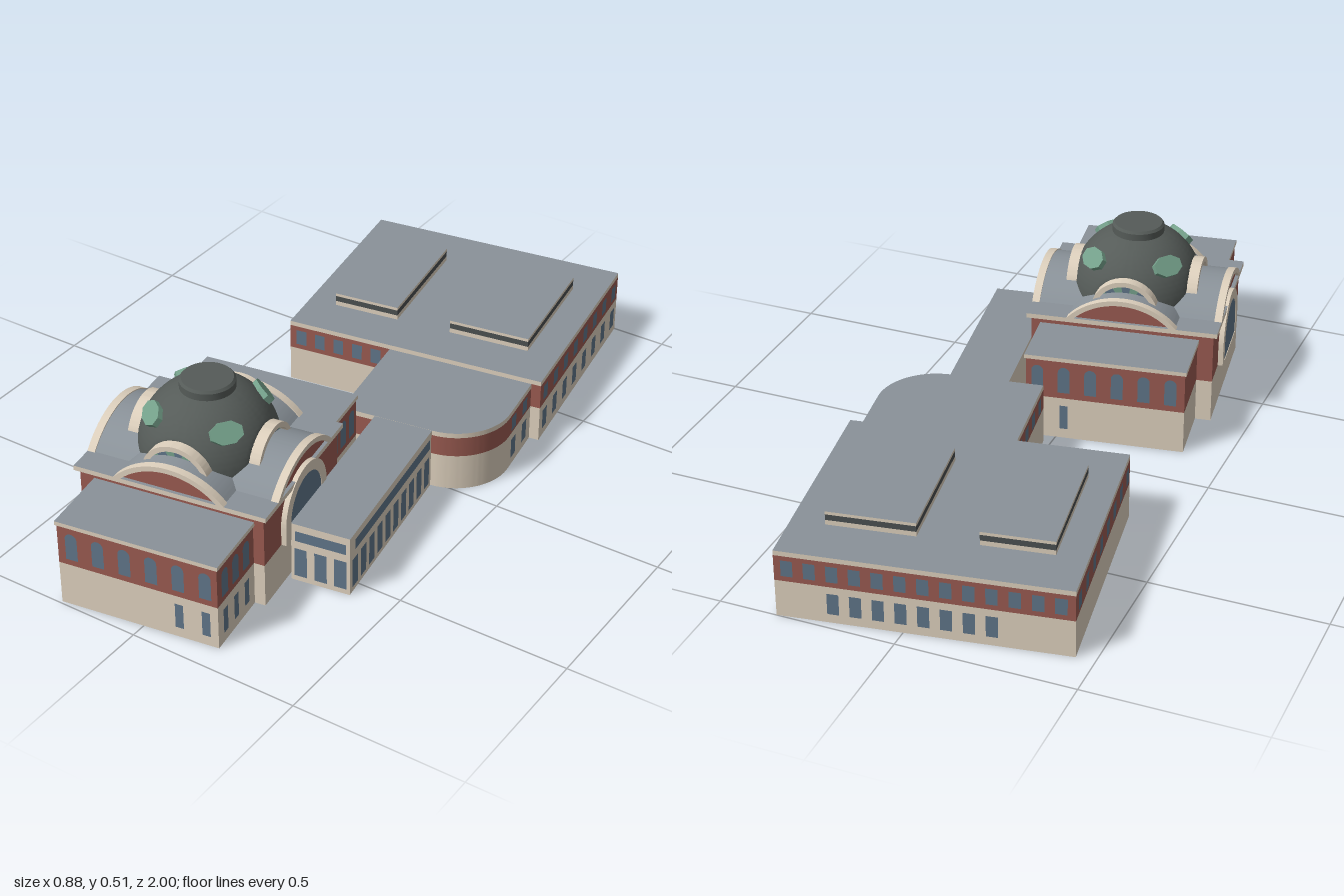
import * as THREE from 'three';
import { toCreasedNormals } from 'three/addons/utils/BufferGeometryUtils.js';

const mat = (color, side = THREE.DoubleSide) => new THREE.MeshStandardMaterial({ color, side });
const cream = mat(0xdccfbc), brick = mat(0x985a50), roofGrey = mat(0x8a9299), domeGrey = mat(0x555b58);
const dark = mat(0x4a4f50), green = mat(0x74a08a), glass = mat(0x5f7488, THREE.FrontSide);

function add(parent, name, geo, material, x = 0, y = 0, z = 0, ry = 0) {
  const m = new THREE.Mesh(geo, material);
  m.name = name;
  m.position.set(x, y, z);
  m.rotation.y = ry;
  parent.add(m);
  return m;
}

// Plan outline (x, -z), counter-clockwise, with an optional round front right corner
function plan([x0, x1, z0, z1], out = 0, r = 0) {
  const s = new THREE.Shape();
  x0 -= out; x1 += out; z0 -= out; z1 += out;
  s.moveTo(x0, -z1);
  s.lineTo(x1 - r, -z1);
  if (r) s.absarc(x1 - r, -z1 + r, r, -Math.PI / 2, 0, false);
  s.lineTo(x1, -z0);
  s.lineTo(x0, -z0);
  return s;
}

// Open ring of upright walls following a plan
function walls(shape, y0, y1) {
  const p = shape.getPoints(16), v = [];
  p.forEach((a, i) => {
    const b = p[(i + 1) % p.length];
    if (a.distanceTo(b) < 1e-6) return;
    v.push(a.x, y0, -a.y, b.x, y0, -b.y, b.x, y1, -b.y, a.x, y0, -a.y, b.x, y1, -b.y, a.x, y1, -a.y);
  });
  const g = new THREE.BufferGeometry();
  g.setAttribute('position', new THREE.Float32BufferAttribute(v, 3));
  return toCreasedNormals(g, 0.5);
}

// Building volume: stacked wall bands [name, y0, y1, material, overhang] under a flat roof
function block(parent, name, rect, bands, r = 0) {
  const g = new THREE.Group();
  g.name = name;
  parent.add(g);
  for (const [label, y0, y1, m, out = 0] of bands) {
    add(g, label, walls(plan(rect, out, r), y0, y1), m);
    if (out) {
      const soffit = plan(rect, out, r);
      soffit.holes.push(new THREE.Path(plan(rect, 0, r).getPoints(16)));
      add(g, label + 'Soffit', new THREE.ShapeGeometry(soffit).rotateX(-Math.PI / 2), m, 0, y0);
    }
  }
  const [, , top, , out = 0] = bands[bands.length - 1];
  add(g, 'roof', new THREE.ShapeGeometry(plan(rect, out, r), 16).rotateX(-Math.PI / 2), roofGrey, 0, top);
  return g;
}

const evenly = (a, b, n) => Array.from({ length: n }, (_, i) => a + (b - a) * i / (n - 1));

// Window outline standing on y = 0, square or round headed
function opening(w, h, arched) {
  const s = new THREE.Shape(), r = w / 2;
  s.moveTo(-r, 0);
  s.lineTo(r, 0);
  if (arched) s.absarc(0, h - r, r, 0, Math.PI, false);
  else { s.lineTo(r, h); s.lineTo(-r, h); }
  return s;
}

// Row of windows on one face of a volume
const FACES = { front: 0, right: Math.PI / 2, back: Math.PI, left: -Math.PI / 2 };
function windows(parent, face, plane, spots, y0, y1, w, arched = false) {
  const g = new THREE.Group(), geo = new THREE.ShapeGeometry(opening(w, y1 - y0, arched), 8);
  g.name = face + 'Windows';
  const out = plane + (face === 'front' || face === 'right' ? 0.002 : -0.002);
  for (const t of spots) {
    const alongX = face === 'front' || face === 'back';
    add(g, 'window', geo, glass, alongX ? t : out, y0, alongX ? out : t, FACES[face]);
  }
  parent.add(g);
}

// Segment of a circle above a chord at y = 0; an inner band when thick is given
function segment(half, rise, thick = 0) {
  const R = (half * half + rise * rise) / (2 * rise), cy = rise - R;
  const a = Math.asin(-cy / R), s = new THREE.Shape();
  s.absarc(0, cy, R, a, Math.PI - a, false);
  if (thick) {
    const q = R - thick, b = Math.asin(-cy / q);
    s.absarc(0, cy, q, Math.PI - b, b, true);
  }
  return s;
}
const extrude = (s, depth) => new THREE.ExtrudeGeometry(s, { depth, bevelEnabled: false, curveSegments: 32 });

export function createModel() {
  const root = new THREE.Group(), site = new THREE.Group();
  root.name = 'building';
  site.name = 'site';
  site.rotation.y = 0.154;
  root.add(site);

  // Large rear wing with two raised roof lights
  const rear = block(site, 'rearWing', [-0.307, 0.485, -0.936, -0.272],
    [['base', 0, 0.11, cream], ['brickStorey', 0.11, 0.186, brick], ['parapet', 0.186, 0.2, cream]]);
  const side = evenly(-0.895, -0.31, 8);
  windows(rear, 'right', 0.485, side, 0.027, 0.09, 0.034);
  windows(rear, 'right', 0.485, side, 0.126, 0.174, 0.034);
  windows(rear, 'left', -0.307, side, 0.126, 0.174, 0.034);
  windows(rear, 'back', -0.936, evenly(-0.27, 0.45, 13), 0.126, 0.174, 0.032);
  windows(rear, 'back', -0.936, evenly(-0.09, 0.33, 8), 0.027, 0.09, 0.032);
  windows(rear, 'front', -0.272, evenly(-0.27, -0.03, 5), 0.126, 0.174, 0.032);
  for (const [x0, x1] of [[-0.222, -0.022], [0.146, 0.391]])
    block(site, 'roofLight', [x0, x1, -0.79, -0.41],
      [['curb', 0.2, 0.214, cream], ['louvres', 0.214, 0.231, dark], ['rim', 0.231, 0.24, cream]]);

  // Connector with one round corner
  const link = block(site, 'connector', [0.014, 0.456, -0.272, 0.061],
    [['base', 0, 0.11, cream], ['brickStorey', 0.11, 0.171, brick], ['parapet', 0.171, 0.186, cream]], 0.165);
  for (const [y0, y1] of [[0.027, 0.09], [0.12, 0.165]])
    windows(link, 'right', 0.456, [-0.22, -0.135], y0, y1, 0.034);
  windows(link, 'left', 0.014, evenly(-0.22, 0.01, 4), 0.12, 0.165, 0.032);

  // Long low gallery beside the hall
  const gallery = block(site, 'gallery', [0.117, 0.287, 0.05, 0.606],
    [['wall', 0, 0.171, cream], ['cornice', 0.171, 0.1855, cream, 0.002]]);
  windows(gallery, 'right', 0.287, evenly(0.095, 0.575, 10), 0.017, 0.107, 0.034);
  windows(gallery, 'right', 0.287, [0.325], 0.131, 0.163, 0.5);
  windows(gallery, 'front', 0.606, [0.145, 0.203, 0.26], 0.017, 0.107, 0.036);
  windows(gallery, 'front', 0.606, [0.203], 0.131, 0.163, 0.148);

  // Square hall
  const cx = -0.166, cz = 0.513;
  const hall = block(site, 'hall', [-0.436, 0.104, 0.288, 0.738],
    [['base', 0, 0.131, cream], ['brickStorey', 0.131, 0.281, brick], ['cornice', 0.281, 0.295, cream, 0.012]]);

  // Front and back pavilions of the hall
  const storeys = [['base', 0, 0.131, cream], ['brickStorey', 0.131, 0.252, brick], ['cornice', 0.252, 0.264, cream, 0.004]];
  const bays = evenly(-0.349, 0.039, 6);
  for (const [face, z0, z1] of [['front', 0.73, 0.944], ['back', 0.094, 0.3]]) {
    const p = block(site, face + 'Pavilion', [-0.39, 0.073, z0, z1], storeys);
    const plane = face === 'front' ? z1 : z0;
    windows(p, face, plane, bays, 0.15, 0.233, 0.035, true);
    windows(p, face, plane, bays.slice(4), 0.031, 0.107, 0.024);
    const flank = face === 'front' ? [0.785, 0.845, 0.905] : [0.13, 0.185, 0.24];
    windows(p, 'right', 0.073, flank, 0.15, 0.233, 0.035, true);
    windows(p, 'right', 0.073, flank, 0.031, 0.107, 0.024);
  }

  // Crossed barrel vaults with brick gables and pale rims
  for (const [half, ry] of [[0.237, 0], [0.2815, Math.PI / 2]]) {
    const vault = new THREE.Group();
    vault.name = 'vault';
    vault.position.set(cx, 0.295, cz);
    vault.rotation.y = ry;
    hall.add(vault);
    const body = extrude(segment(0.158, 0.069), 2 * half - 0.02).translate(0, 0, -half + 0.01);
    add(vault, 'vaultRoof', toCreasedNormals(body, 0.5), [brick, roofGrey]);
    const rim = toCreasedNormals(extrude(segment(0.162, 0.072, 0.015), 0.022), 0.5);
    for (const z of [half - 0.021, -half - 0.001]) add(vault, 'gableRim', rim, cream, 0, 0, z);
  }

  // Great arched windows on both flanks
  for (const [x, ry] of [[0.104, Math.PI / 2], [-0.436, -Math.PI / 2]]) {
    const arch = new THREE.Group();
    arch.name = 'greatWindow';
    arch.position.set(x, 0.131, cz);
    arch.rotation.y = ry;
    hall.add(arch);
    const frame = opening(0.25, 0.179, true);
    frame.holes.push(new THREE.Path(opening(0.188, 0.148, true).getPoints(24)));
    add(arch, 'archSurround', toCreasedNormals(extrude(frame, 0.015), 0.5), cream);
    add(arch, 'glazing', new THREE.ShapeGeometry(opening(0.188, 0.148, true), 24), glass, 0, 0, 0.0135);
  }

  // Dome: a sphere cut flat on four sides
  const dome = new THREE.Group();
  dome.name = 'dome';
  dome.position.set(cx, 0.307, cz);
  site.add(dome);
  const R = 0.193, flat = 0.165;
  const shell = new THREE.SphereGeometry(R, 128, 48, 0, Math.PI * 2, 0, Math.PI * 0.53);
  const pos = shell.attributes.position;
  for (let i = 0; i < pos.count; i++) {
    pos.setX(i, THREE.MathUtils.clamp(pos.getX(i), -flat, flat));
    pos.setZ(i, THREE.MathUtils.clamp(pos.getZ(i), -flat, flat));
  }
  add(dome, 'domeShell', toCreasedNormals(shell, 0.5), domeGrey);
  const cap = [[0.076, 0.165], [0.076, 0.198], [0.07, 0.205], [0, 0.205]].map(p => new THREE.Vector2(...p));
  add(dome, 'domeCap', toCreasedNormals(new THREE.LatheGeometry(cap, 40), 0.5), domeGrey);

  const rimShape = new THREE.Shape();
  rimShape.absarc(0, 0, 0.1, 0, Math.PI, false);
  rimShape.absarc(0, 0, 0.085, Math.PI, 0, true);
  const rimGeo = toCreasedNormals(extrude(rimShape, 0.036), 0.5);
  for (let k = 0; k < 4; k++) {
    // Half-round fan windows on the flat sides
    const fan = new THREE.Group();
    fan.name = 'fanWindow';
    fan.rotation.y = k * Math.PI / 2;
    dome.add(fan);
    add(fan, 'fanRim', rimGeo, cream, 0, 0, flat - 0.006);
    for (let i = 0; i < 9; i++)
      add(fan, 'fanPane', new THREE.CircleGeometry(0.086, 4, i * Math.PI / 9, Math.PI / 9),
        i % 2 ? green : glass, 0, 0, flat + 0.01);

    // Eight-sided roof lights on the diagonals
    const turn = new THREE.Group();
    turn.name = 'domeLight';
    turn.rotation.y = Math.PI / 4 + k * Math.PI / 2;
    dome.add(turn);
    const disc = new THREE.CylinderGeometry(0.045, 0.045, 0.022, 8).rotateY(Math.PI / 8).scale(1.05, 1, 0.72);
    const light = add(turn, 'domeLightPane', toCreasedNormals(disc, 0.3), green, 0, 0.121, 0.151);
    light.rotation.x = THREE.MathUtils.degToRad(51);
  }
  return root;
}
